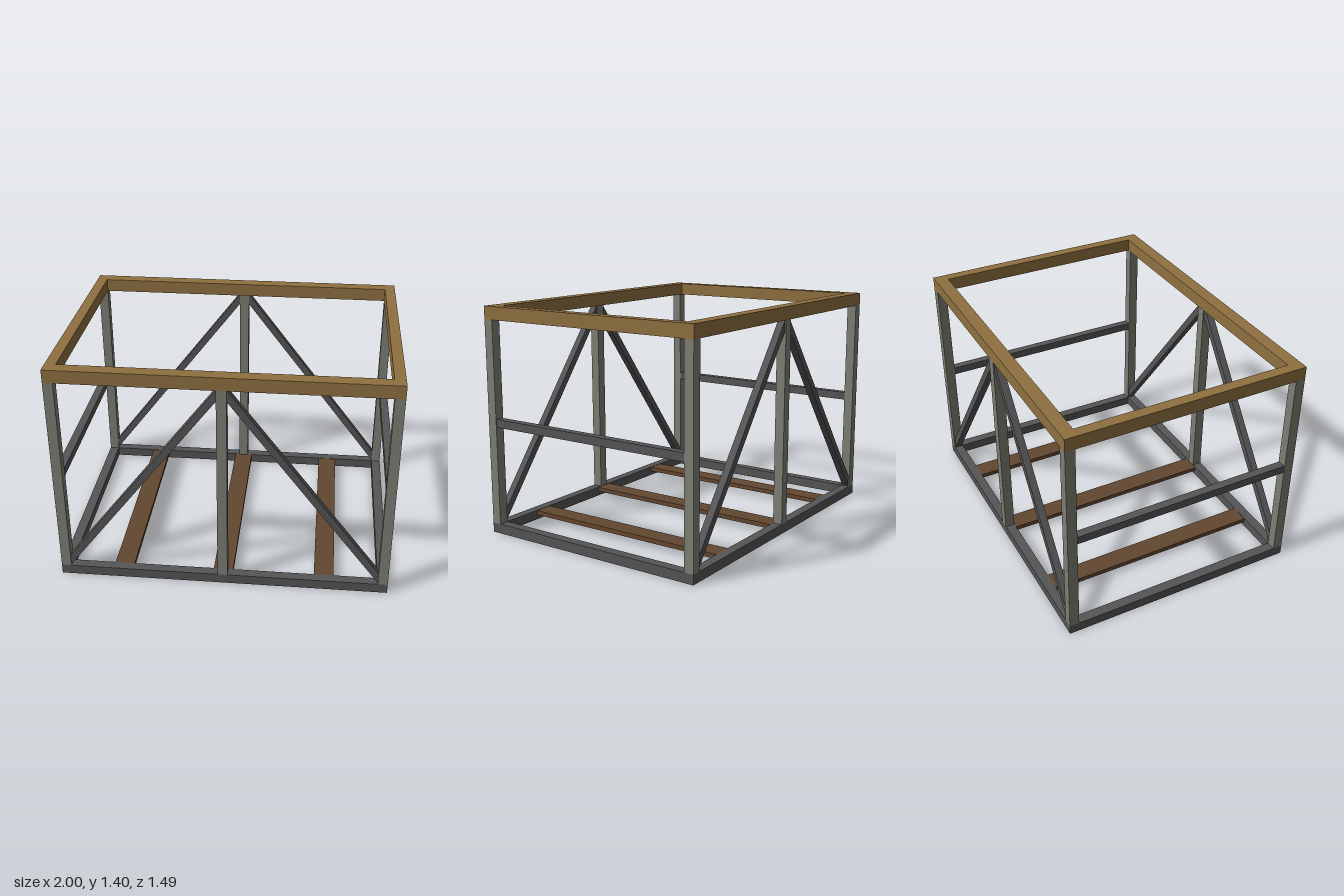
import * as THREE from 'three';

export function createModel() {
  const model = new THREE.Group();
  const mat = (color) => new THREE.MeshStandardMaterial({ color, flatShading: true });
  const darkSteel = mat(0x555555), paleSteel = mat(0x7d7e75);
  const railWood = mat(0x8f7040), slatWood = mat(0x634730);

  const X = 1, Z = 0.745, T = 0.06;          // half length, half depth, steel thickness
  const RAIL_Y = 1.32, TOP = 1.4;

  const add = (name, geometry, material) => {
    const mesh = new THREE.Mesh(geometry, material);
    mesh.name = name;
    model.add(mesh);
    return mesh;
  };
  // Box given by its low and high limits on each axis
  const beam = (name, material, [x0, x1], [y0, y1], [z0, z1]) =>
    add(name, new THREE.BoxGeometry(x1 - x0, y1 - y0, z1 - z0), material)
      .position.set((x0 + x1) / 2, (y0 + y1) / 2, (z0 + z1) / 2);
  // Range from an outer face at s * outer, going inward by t
  const inward = (s, outer, t) => (s > 0 ? [outer - t, outer] : [-outer, -outer + t]);

  for (const s of [-1, 1]) {
    // Base frame and wooden top rails
    beam('baseLongBeam', darkSteel, [-X, X], [0, T], inward(s, Z, T));
    beam('baseCrossBeam', darkSteel, inward(s, X, T), [0, T], [-Z + T, Z - T]);
    beam('topLongRail', railWood, [-X, X], [RAIL_Y, TOP], inward(s, Z, 0.08));
    beam('topCrossRail', railWood, inward(s, X, 0.065), [RAIL_Y, TOP], [-Z + 0.08, Z - 0.08]);

    // Middle rail of each end
    beam('endRail', darkSteel, inward(s, X - 0.005, 0.05), [0.67, 0.72], [-Z + T, Z - T]);

    // Posts along each long side
    for (const x of [-X + T / 2, 0, X - T / 2])
      beam('post', paleSteel, [x - T / 2, x + T / 2], [T, RAIL_Y], inward(s, Z, T));

    // Diagonal braces, cut upright against the posts
    for (const d of [-1, 1]) {
      const shape = new THREE.Shape([
        [0.94, 0.065], [0.94, 0.135], [0.03, 1.32], [0.03, 1.25],
      ].map(([x, y]) => new THREE.Vector2(d * x, y)));
      const brace = new THREE.ExtrudeGeometry(shape, { depth: 0.045, bevelEnabled: false });
      add('diagonalBrace', brace, darkSteel).position.z = s * (Z - T / 2) - 0.0225;
    }
  }

  // Floor slats between the long base beams
  for (const x of [-0.615, 0, 0.615])
    beam('floorSlat', slatWood, [x - 0.06, x + 0.06], [0.03, 0.058], [-Z + T, Z - T]);

  return model;
}
